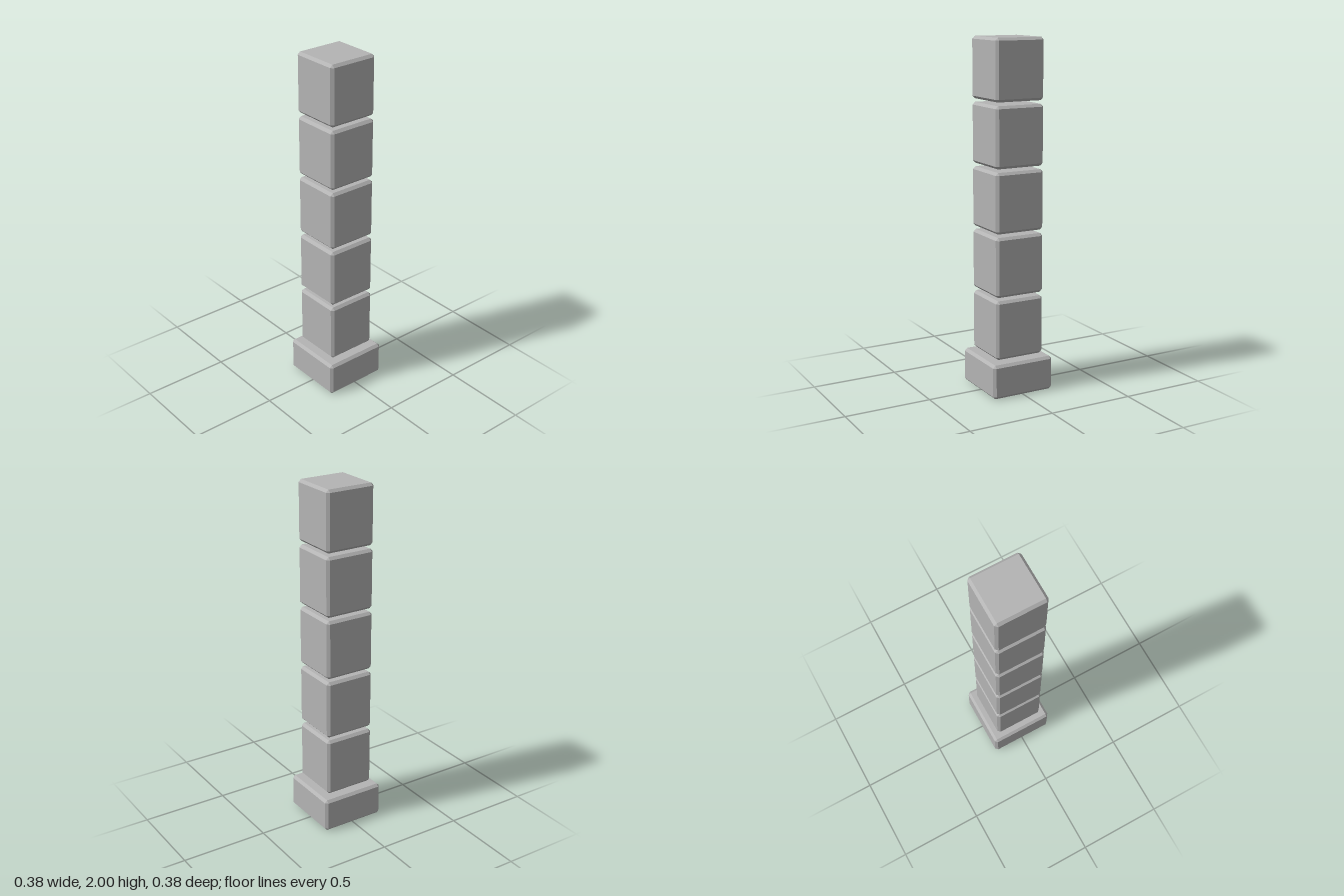
import * as THREE from 'three';
import { ConvexGeometry } from 'three/addons/geometries/ConvexGeometry.js';

// Box with every edge and corner chamfered by c, centred on the origin
function chamferedBox(w, h, d, c) {
  const points = [];
  const [x, y, z] = [w / 2, h / 2, d / 2];
  for (const sx of [-1, 1]) for (const sy of [-1, 1]) for (const sz of [-1, 1]) {
    points.push(
      new THREE.Vector3(sx * x, sy * (y - c), sz * (z - c)),
      new THREE.Vector3(sx * (x - c), sy * y, sz * (z - c)),
      new THREE.Vector3(sx * (x - c), sy * (y - c), sz * z)
    );
  }
  return new ConvexGeometry(points);
}

export function createModel() {
  const model = new THREE.Group();
  model.name = 'blockColumn';

  const stone = new THREE.MeshStandardMaterial({ color: 0xb4b4b4 });
  stone.name = 'grey stone';

  const chamfer = 0.015;

  // Wide plinth
  const base = new THREE.Mesh(chamferedBox(0.378, 0.198, 0.378, chamfer), stone);
  base.name = 'base';
  base.position.y = 0.099;
  model.add(base);

  // Five equal blocks with a narrow gap under each
  const height = 0.342, pitch = 0.3616, count = 5;
  const blockGeometry = chamferedBox(0.296, height, 0.296, chamfer);
  for (let i = 0; i < count; i++) {
    const block = new THREE.Mesh(blockGeometry, stone);
    block.name = `block${i + 1}`;
    block.position.y = 2 - height / 2 - (count - 1 - i) * pitch;
    model.add(block);
  }
  return model;
}
